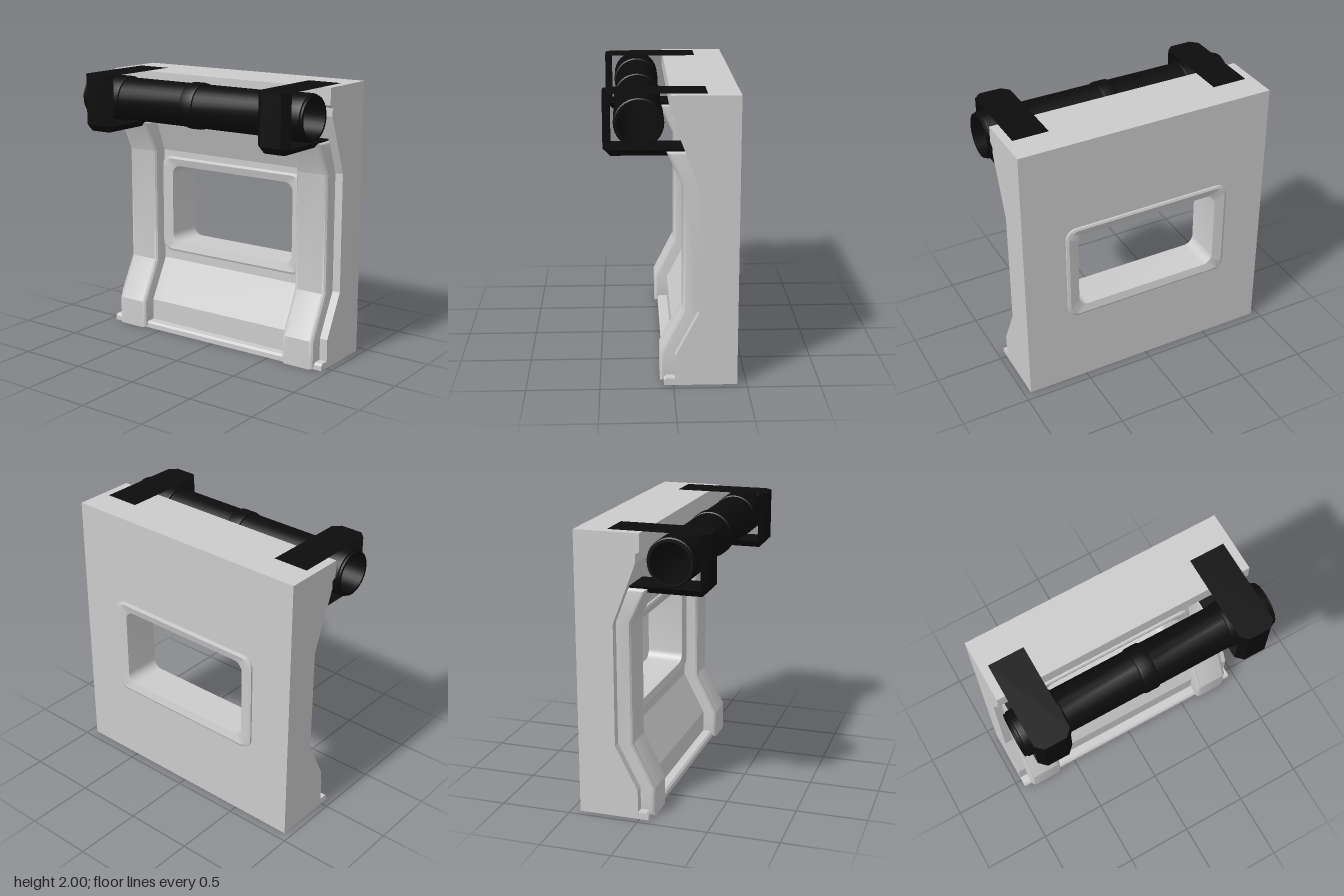
import * as THREE from 'three';
import { toCreasedNormals } from 'three/addons/utils/BufferGeometryUtils.js';
import { ConvexGeometry } from 'three/addons/geometries/ConvexGeometry.js';

const grey = new THREE.MeshStandardMaterial({ color: 0xcccccc });
const black = new THREE.MeshStandardMaterial({ color: 0x0c0c0c });
const blackSheet = new THREE.MeshStandardMaterial({ color: 0x0c0c0c, side: THREE.DoubleSide });

function addMesh(parent, name, geometry, material) {
  const mesh = new THREE.Mesh(geometry, material);
  mesh.name = name;
  parent.add(mesh);
  return mesh;
}

// Extrude an x-y profile between two z positions
function slab(points, z0, z1) {
  const shape = new THREE.Shape(points.map(p => new THREE.Vector2(...p)));
  return new THREE.ExtrudeGeometry(shape, { depth: z1 - z0, bevelEnabled: false }).translate(0, 0, z0);
}

// Rounded rectangle in the z-y plane at a given x
function windowLoop(x, halfZ, halfY, r, steps = 6) {
  const loop = [];
  [[1, 1], [-1, 1], [-1, -1], [1, -1]].forEach(([sz, sy], q) => {
    for (let i = 0; i <= steps; i++) {
      const a = (q + i / steps) * Math.PI / 2;
      loop.push([x, 0.9625 + sy * (halfY - r) + r * Math.sin(a), sz * (halfZ - r) + r * Math.cos(a)]);
    }
  });
  return loop;
}

// Join successive loops with quads
function loft(loops) {
  const n = loops[0].length, index = [];
  for (let k = 0; k < loops.length - 1; k++) {
    for (let i = 0; i < n; i++) {
      const a = k * n + i, b = k * n + (i + 1) % n;
      index.push(a, a + n, b, b, a + n, b + n);
    }
  }
  const g = new THREE.BufferGeometry();
  g.setAttribute('position', new THREE.Float32BufferAttribute(loops.flat(2), 3));
  g.setIndex(index);
  return toCreasedNormals(g, 0.5);
}

export function createModel() {
  const model = new THREE.Group();
  model.name = 'wallPanel';

  // Wall: two full-height sides, plus pieces above and below the window
  const lower = [[0.17, 0.52], [0.01, 0.21], [0.01, 0.05], [-0.05, 0.05], [-0.065, 0.035], [-0.065, 0]];
  const upper = [[0.435, 2], [-0.02, 2], [-0.02, 1.88], [0.01, 1.86], [0.01, 1.8], [0.17, 1.38]];
  const wall = new THREE.Group();
  wall.name = 'wall';
  model.add(wall);
  const gap = 0.56;
  const side = [[0.435, 0], ...upper, ...lower];
  addMesh(wall, 'wallFrontSide', slab(side, gap, 0.95), grey);
  addMesh(wall, 'wallBackSide', slab(side, -0.95, -gap), grey);
  addMesh(wall, 'wallAboveWindow', slab([[0.435, 1.28], ...upper, [0.17, 1.28]], -gap, gap), grey);
  addMesh(wall, 'wallBelowWindow', slab([[0.435, 0], [0.435, 0.645], [0.17, 0.645], ...lower], -gap, gap), grey);

  // Window lining with a raised frame on both faces
  const rim = [[0, 0.635, 0.3735, 0.08], [0.014, 0.635, 0.3735, 0.08], [0.021, 0.617, 0.358, 0.075],
    [0.006, 0.545, 0.303, 0.07]];
  const outside = rim.map(([d, z, y, r]) => windowLoop(0.435 + d, z, y, r));
  const inside = rim.map(([d, z, y, r]) => windowLoop(0.17 - d, z, y, r)).reverse();
  addMesh(model, 'windowFrame', loft([...outside, ...inside]), grey);

  // Upright ribs and pipe brackets, one at each end
  const ribShape = new THREE.Shape([[0.25, 0], [0.25, 1.62], [-0.05, 1.62], [0.065, 1.38], [0.065, 0.52],
    [-0.09, 0.21], [-0.09, 0]].map(p => new THREE.Vector2(...p)));
  const b = 0.03;
  const ribGeometry = toCreasedNormals(new THREE.ExtrudeGeometry(ribShape, {
    depth: 0.26 - 2 * b, bevelThickness: b, bevelSize: b, bevelOffset: -b, bevelSegments: 3,
  }).translate(0, 0, -0.13 + b), 0.45);

  const hull = pts => new ConvexGeometry(pts.flatMap(([x, y, z]) =>
    [new THREE.Vector3(x, y, z), new THREE.Vector3(x, y, -z)]));
  const plateGeometry = hull([[-0.41, 2, 0.13], [-0.46, 2, 0.08], [-0.41, 1.635, 0.13],
    [-0.46, 1.635, 0.08], [-0.41, 1.585, 0.08]]);
  const shelfGeometry = hull([[-0.41, 1.635, 0.13], [-0.41, 1.585, 0.08], [0.22, 1.635, 0.13], [0.22, 1.585, 0.08]]);
  const topShape = new THREE.Shape([[-0.41, -0.13], [0.22, -0.13], [0.22, 0.13], [-0.41, 0.13],
    [-0.46, 0.08], [-0.46, -0.08]].map(p => new THREE.Vector2(...p)));
  const topGeometry = new THREE.ShapeGeometry(topShape).rotateX(-Math.PI / 2).translate(0, 2.002, 0);

  for (const s of [1, -1]) {
    const end = s > 0 ? 'front' : 'back';
    addMesh(model, end + 'Rib', ribGeometry, grey).position.z = 0.76 * s;
    const bracket = new THREE.Group();
    bracket.name = end + 'Bracket';
    bracket.position.z = 0.76 * s;
    addMesh(bracket, 'bracketPlate', plateGeometry, black);
    addMesh(bracket, 'bracketShelf', shelfGeometry, black);
    addMesh(bracket, 'bracketTop', topGeometry, blackSheet);
    model.add(bracket);
  }

  // Hollow pipe with a middle ring and end collars
  const half = [[0.155, 0.055], [0.163, 0.05], [0.165, 0.04]].reverse()
    .concat([[0.155, 0.61], [0.163, 0.615], [0.165, 0.625], [0.165, 0.92], [0.163, 0.93], [0.155, 0.935],
      [0.155, 0.95], [0.138, 0.95]]);
  const profile = [...half.map(([r, z]) => [r, -z]).reverse(), ...half, [0.138, -0.95]];
  const pipe = toCreasedNormals(new THREE.LatheGeometry(profile.map(p => new THREE.Vector2(...p)), 32), 0.5);
  pipe.rotateX(Math.PI / 2).translate(-0.225, 1.82, 0);
  addMesh(model, 'pipe', pipe, black);

  return model;
}
